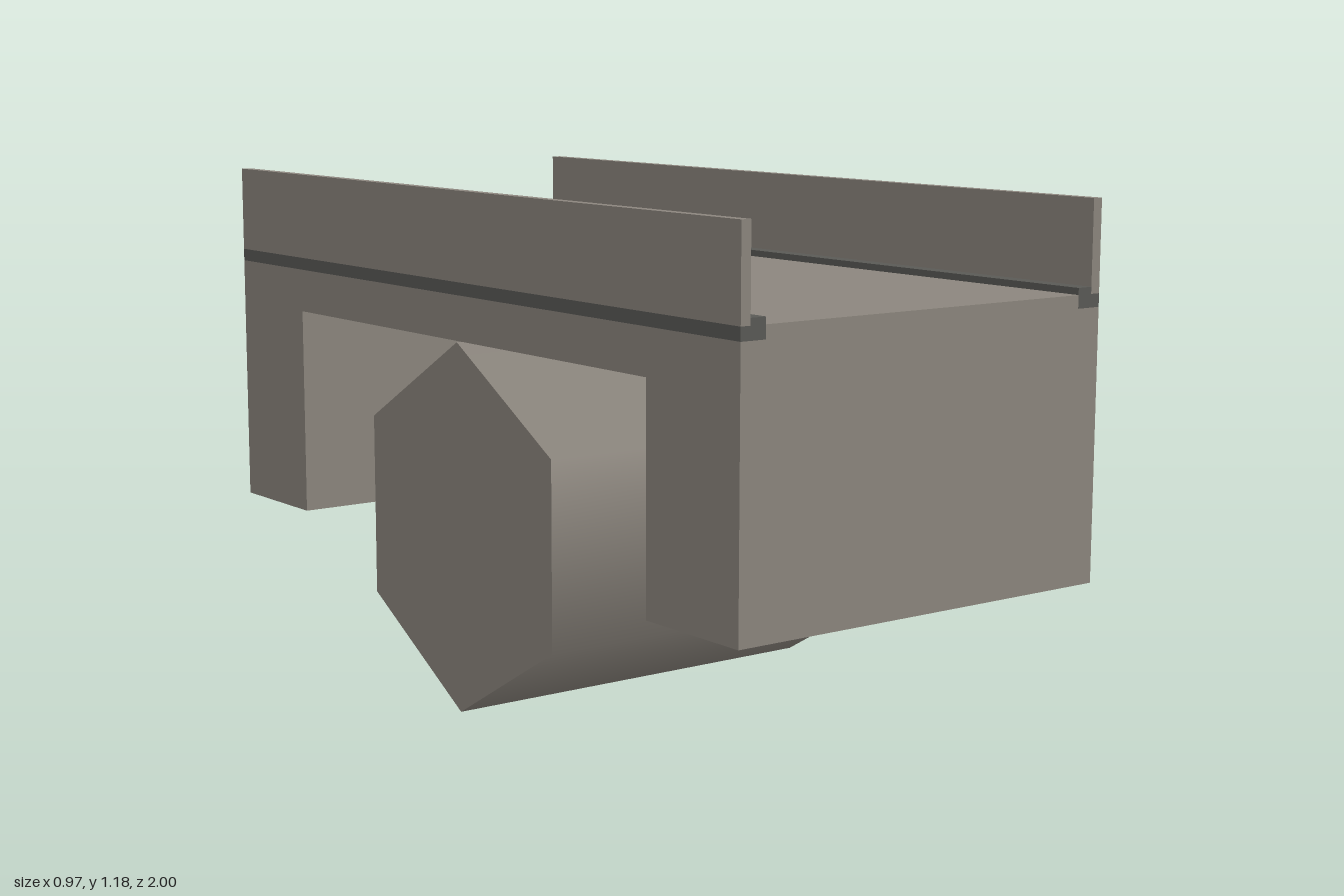
import * as THREE from 'three';

const WIDTH = 0.974, LENGTH = 2;

export function createModel() {
  const model = new THREE.Group();
  model.name = 'bridge';
  const stone = new THREE.MeshStandardMaterial({ name: 'warm grey stone', color: 0x8c867e });
  const dark = new THREE.MeshStandardMaterial({ name: 'dark grey curb', color: 0x5a5a56 });

  const add = (parent, name, geometry, material) => {
    const mesh = new THREE.Mesh(geometry, material);
    mesh.name = name;
    parent.add(mesh);
    return mesh;
  };

  // Extrudes a polygon along its own z, centred on the origin
  const prism = (points, depth) => {
    const shape = new THREE.Shape(points.map(([x, y]) => new THREE.Vector2(x, y)));
    return new THREE.ExtrudeGeometry(shape, { depth, bevelEnabled: false }).translate(0, 0, -depth / 2);
  };

  // Deck slab with a leg hanging down at each end
  const span = prism([
    [-1, 0.353], [-0.702, 0.353], [-0.702, 0.85], [0.702, 0.85],
    [0.702, 0.353], [1, 0.353], [1, 0.952], [-1, 0.952],
  ], WIDTH).rotateY(Math.PI / 2);
  add(model, 'spanAndLegs', span, stone);

  // Raised road surface between the curbs
  add(model, 'roadSurface', new THREE.BoxGeometry(0.85, 0.029, LENGTH), stone)
    .position.y = 0.9665;

  // Smooth-shaded six-sided drum lying across the opening
  const drum = new THREE.CylinderGeometry(0.4235, 0.4235, WIDTH, 6, 1, false, Math.PI / 6);
  add(model, 'hexagonalDrum', drum.rotateZ(Math.PI / 2), stone).position.y = 0.4235;

  // Stepped curb and side wall, mirrored by turning half round
  for (const side of ['left', 'right']) {
    const edge = new THREE.Group();
    edge.name = side + 'Edge';
    if (side === 'right') edge.rotation.y = Math.PI;
    const curb = prism([
      [0.425, 0.952], [0.487, 0.952], [0.487, 0.981],
      [0.463, 0.981], [0.463, 0.996], [0.425, 0.996],
    ], LENGTH);
    add(edge, side + 'Curb', curb, dark);
    add(edge, side + 'Wall', new THREE.BoxGeometry(0.024, 0.202, LENGTH), stone)
      .position.set(0.475, 1.082, 0);
    model.add(edge);
  }

  return model;
}
